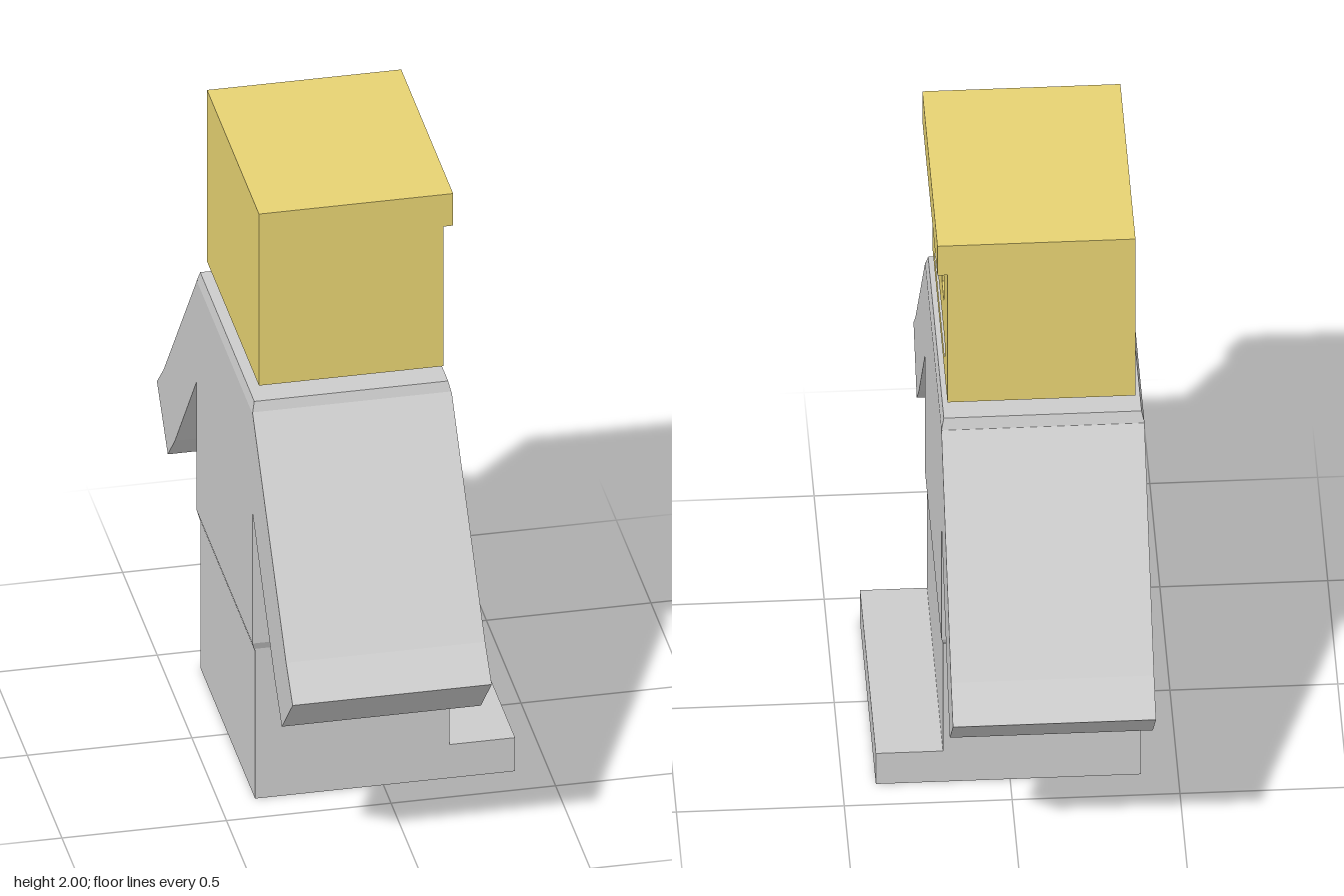
import * as THREE from 'three';

const grey = new THREE.MeshStandardMaterial({ color: 0xcccccc, flatShading: true });
const yellow = new THREE.MeshStandardMaterial({ color: 0xe6d272, flatShading: true });

function add(parent, name, geometry, material) {
  const mesh = new THREE.Mesh(geometry, material);
  mesh.name = name;
  parent.add(mesh);
  return mesh;
}

// Box given by its limits on each axis
function block(x0, x1, y0, y1, z0, z1, ySegments = 1) {
  return new THREE.BoxGeometry(x1 - x0, y1 - y0, z1 - z0, 1, ySegments, 1)
    .translate((x0 + x1) / 2, (y0 + y1) / 2, (z0 + z1) / 2);
}

// Side outline of [z, y] points, swept along x from x0 to x1
function sweep(points, x0, x1, holes = []) {
  const toVectors = (list) => list.map(([z, y]) => new THREE.Vector2(-z, y));
  const shape = new THREE.Shape(toVectors(points));
  for (const hole of holes) shape.holes.push(new THREE.Path(toVectors(hole)));
  return new THREE.ExtrudeGeometry(shape, { depth: x1 - x0, bevelEnabled: false })
    .rotateY(Math.PI / 2).translate(x0, 0, 0);
}

// Torso block whose top and bottom rims are drawn in as a chamfer
function torsoGeometry() {
  const geometry = block(-0.4, 0.205, 0.51, 1.365, -0.405, 0.4, 3);
  const levels = [0.51, 0.54, 1.33, 1.365];
  const pos = geometry.attributes.position;
  for (let i = 0; i < pos.count; i++) {
    const row = Math.round((pos.getY(i) - 0.51) / 0.285);
    pos.setY(i, levels[row]);
    if (row === 0 || row === 3) {
      pos.setX(i, pos.getX(i) - Math.sign(pos.getX(i)) * 0.008);
      pos.setZ(i, pos.getZ(i) - Math.sign(pos.getZ(i)) * 0.012);
    }
  }
  return geometry;
}

export function createModel() {
  const model = new THREE.Group();
  model.name = 'blockFigure';

  // Body
  add(model, 'legs', block(-0.39, 0.2, 0, 0.52, -0.4, 0.39), grey);
  add(model, 'feet', block(0.2, 0.4, 0, 0.115, -0.4, 0.39), grey);
  add(model, 'torso', torsoGeometry(), grey);

  // Arms: slanting sleeves with a slight bend near the ends
  const arm = [[0.4, 1.335], [0.885, 0.75], [0.98, 0.657], [0.823, 0.495],
    [0.72, 0.6], [0.4, 0.99]];
  for (const side of [1, -1]) {
    const outline = arm.map(([z, y]) => [side * z, y]);
    add(model, side > 0 ? 'armNear' : 'armFar', sweep(outline, -0.4, 0.205), grey);
  }

  // Head: solid back, cut-out face plate and a cap slab with a brim
  const head = new THREE.Group();
  head.name = 'head';
  model.add(head);
  add(head, 'neck', block(-0.25, 0.06, 1.36, 1.415, -0.205, 0.205), yellow);
  add(head, 'headBack', block(-0.375, 0.085, 1.41, 1.89, -0.375, 0.375), yellow);
  add(head, 'headTop', block(-0.375, 0.215, 1.89, 2, -0.375, 0.375), yellow);

  // Eye slots are notches that run up under the brim
  const face = [[-0.375, 1.41], [0.375, 1.41], [0.375, 1.89]];
  for (const [a, b] of [[0.19, 0.09], [-0.095, -0.19]]) {
    face.push([a, 1.89], [a, 1.65], [b, 1.65], [b, 1.89]);
  }
  face.push([-0.375, 1.89]);
  // Mouth with slightly clipped corners
  const c = 0.008, w = 0.24, y0 = 1.47, y1 = 1.535;
  const mouth = [[-w + c, y0], [w - c, y0], [w, y0 + c], [w, y1 - c],
    [w - c, y1], [-w + c, y1], [-w, y1 - c], [-w, y0 + c]];
  add(head, 'face', sweep(face, 0.085, 0.185, [mouth]), yellow);

  return model;
}
